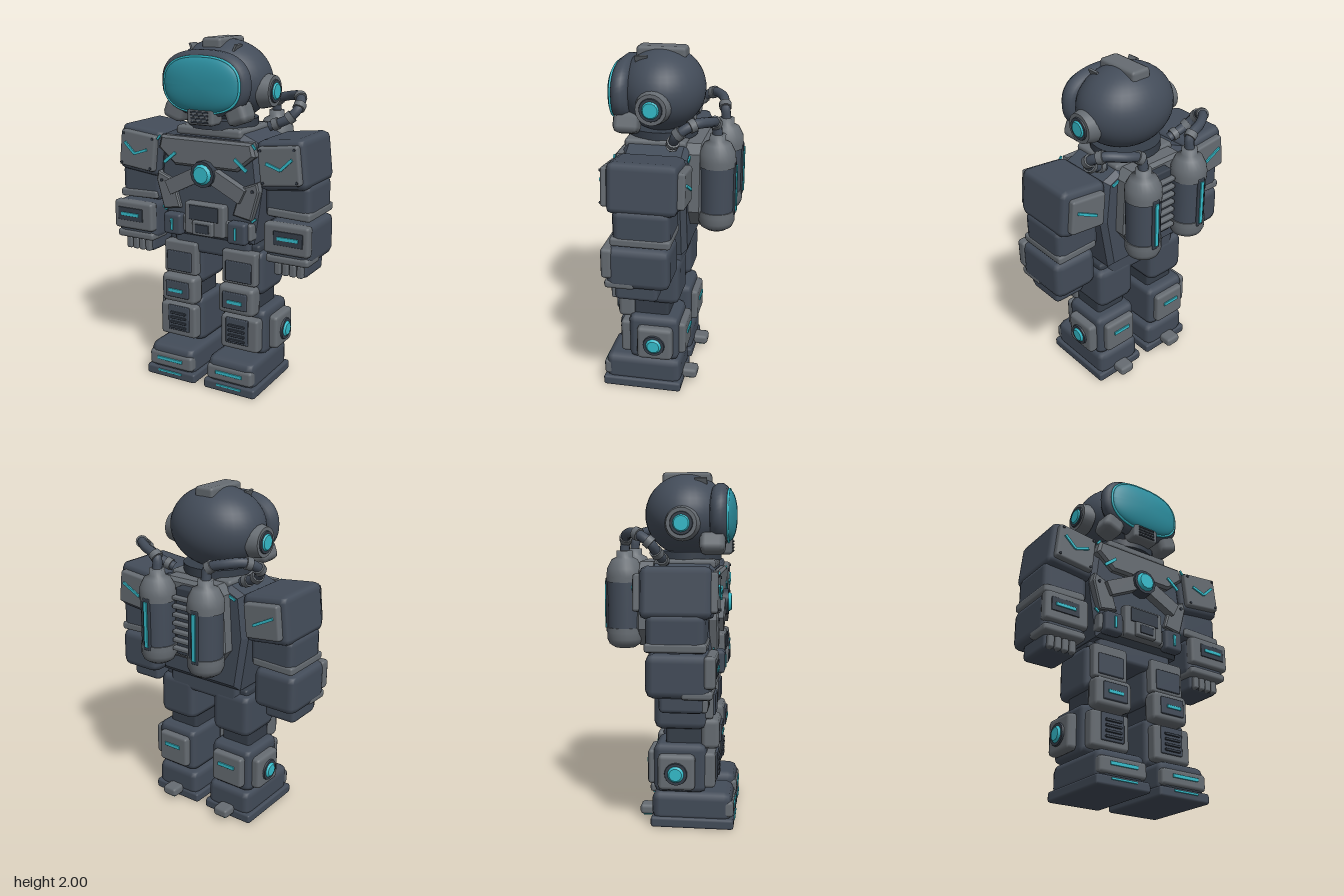
import * as THREE from 'three';
import { RoundedBoxGeometry } from 'three/addons/geometries/RoundedBoxGeometry.js';

const paint = (name, color) => Object.assign(new THREE.MeshStandardMaterial({ color }), { name });

export function createModel() {
  const dark = paint('slate armour', 0x434c59);
  const grey = paint('grey plating', 0x666c72);
  const deep = paint('dark inset', 0x363e49);
  const glow = paint('teal light', 0x35bccb);
  const glass = paint('teal visor', 0x2b8d9e);
  const model = new THREE.Group();
  model.name = 'armouredSpaceSuit';

  const add = (parent, name, geo, mat, x = 0, y = 0, z = 0, rz = 0) => {
    const m = new THREE.Mesh(geo, mat);
    m.name = name;
    m.position.set(x, y, z);
    m.rotation.z = rz;
    parent.add(m);
    return m;
  };
  // chamfered box given by its extents on each axis
  const box = (parent, name, mat, [x0, x1], [y0, y1], [z0, z1], r = 0.01, rz = 0) => {
    const w = Math.abs(x1 - x0), h = y1 - y0, d = z1 - z0;
    const geo = new RoundedBoxGeometry(w, h, d, 1, Math.min(r, w * 0.4, h * 0.4, d * 0.4));
    return add(parent, name, geo, mat, (x0 + x1) / 2, (y0 + y1) / 2, (z0 + z1) / 2, rz);
  };
  // thin bar between two points of the xy plane
  const bar = (parent, name, mat, a, b, z, t = 0.016, d = 0.009) => {
    const dx = b[0] - a[0], dy = b[1] - a[1];
    return add(parent, name, new THREE.BoxGeometry(Math.hypot(dx, dy), t, d), mat,
      (a[0] + b[0]) / 2, (a[1] + b[1]) / 2, z, Math.atan2(dy, dx));
  };
  // extruded outline, bevelled inside its z extents
  const plate = (parent, name, mat, pts, z0, z1, bevel = 0.008) => {
    const geo = new THREE.ExtrudeGeometry(new THREE.Shape(pts.map(p => new THREE.Vector2(...p))), {
      depth: z1 - z0 - 2 * bevel, bevelSize: bevel, bevelThickness: bevel, bevelOffset: -bevel, bevelSegments: 1,
    });
    return add(parent, name, geo, mat, 0, 0, z0 + bevel);
  };
  // cylinder along a chosen axis
  const disc = (parent, name, mat, r0, r1, len, x, y, z, axis, seg = 20) => {
    const geo = new THREE.CylinderGeometry(r1, r0, len, seg);
    if (axis === 'x') geo.rotateZ(-Math.PI / 2);
    if (axis === '-x') geo.rotateZ(Math.PI / 2);
    if (axis === 'z') geo.rotateX(Math.PI / 2);
    return add(parent, name, geo, mat, x, y, z);
  };
  const squircle = (t, p = 0.8) => [Math.cos(t), Math.sin(t)].map(v => Math.sign(v) * Math.abs(v) ** p);
  const loop = (rx, ry, y, z, r) => {
    const pts = Array.from({ length: 32 }, (_, i) => {
      const [c, s] = squircle(i / 16 * Math.PI);
      return new THREE.Vector3(c * rx, y + s * ry, z);
    });
    return new THREE.TubeGeometry(new THREE.CatmullRomCurve3(pts, true), 64, r, 10, true);
  };

  // ---- helmet
  const head = new THREE.Group();
  head.name = 'helmet';
  model.add(head);
  const shell = new THREE.SphereGeometry(1, 36, 24);
  shell.scale(0.29, 0.233, 0.242);
  add(head, 'helmetShell', shell, dark, 0, 1.76, 0.07);
  add(head, 'visorRim', loop(0.225, 0.132, 1.76, 0.265, 0.05), dark);
  const lens = new THREE.SphereGeometry(1, 40, 20, 0, Math.PI * 2, 0, Math.PI / 2);
  lens.rotateX(Math.PI / 2);
  const lp = lens.attributes.position;
  for (let i = 0; i < lp.count; i++) {
    const q = Math.hypot(lp.getX(i), lp.getY(i));
    const [c, s] = squircle(Math.atan2(lp.getY(i), lp.getX(i)));
    lp.setXYZ(i, c * q * 0.236, s * q * 0.152, lp.getZ(i) * 0.05);
  }
  lens.computeVertexNormals();
  add(head, 'visor', lens, glass, 0, 1.755, 0.31);
  add(head, 'visorTrim', loop(0.235, 0.151, 1.755, 0.316, 0.007), glow);
  box(head, 'crest', grey, [-0.062, 0.062], [1.93, 2.0], [-0.07, 0.21], 0.02);
  box(head, 'respirator', grey, [-0.085, 0.085], [1.535, 1.635], [0.22, 0.335], 0.02);
  for (let i = 0; i < 4; i++) box(head, 'respiratorSlat', deep, [-0.055, 0.055], [1.55 + i * 0.018, 1.56 + i * 0.018], [0.33, 0.341], 0.002);
  for (const s of [1, -1]) {
    disc(head, 'earPod', grey, 0.1, 0.085, 0.07, s * 0.288, 1.715, 0.07, s > 0 ? 'x' : '-x');
    disc(head, 'earRing', deep, 0.066, 0.062, 0.012, s * 0.325, 1.715, 0.07, s > 0 ? 'x' : '-x');
    disc(head, 'earLight', glow, 0.053, 0.04, 0.014, s * 0.332, 1.715, 0.07, s > 0 ? 'x' : '-x');
    box(head, 'cheekGuard', grey, [s * 0.13, s * 0.26], [1.545, 1.66], [0.16, 0.305], 0.035, s * 0.35);
    bar(head, 'browNotch', grey, [s * 0.13, 1.93], [s * 0.145, 1.965], 0.16, 0.012, 0.07);
  }

  // ---- torso
  const torso = new THREE.Group();
  torso.name = 'torso';
  model.add(torso);
  plate(torso, 'torsoShell', dark, [[-0.21, 1.49], [-0.3, 1.45], [-0.33, 1.2], [-0.28, 0.87], [0.28, 0.87], [0.33, 1.2], [0.3, 1.45], [0.21, 1.49]], -0.12, 0.25, 0.03);
  box(torso, 'collar', grey, [-0.21, 0.21], [1.46, 1.515], [-0.1, 0.25], 0.02);
  disc(torso, 'neckRing', deep, 0.2, 0.2, 0.05, 0, 1.53, 0.07, 'y', 28);
  plate(torso, 'chestPlate', grey, [[-0.29, 1.455], [-0.31, 1.38], [-0.2, 1.29], [0.2, 1.29], [0.31, 1.38], [0.29, 1.455]], 0.22, 0.285, 0.015);
  box(torso, 'pelvis', dark, [-0.25, 0.25], [0.76, 0.9], [-0.08, 0.22], 0.03);
  box(torso, 'belt', grey, [-0.29, 0.29], [0.9, 1.0], [0.2, 0.275], 0.015);
  box(torso, 'bucklePlate', grey, [-0.13, 0.13], [0.9, 1.09], [0.24, 0.3], 0.015);
  box(torso, 'buckleInset', deep, [-0.095, 0.095], [0.99, 1.075], [0.29, 0.307], 0.005);
  box(torso, 'buckle', grey, [-0.068, 0.068], [0.905, 0.99], [0.28, 0.32], 0.01);
  box(torso, 'buckleCore', deep, [-0.045, 0.045], [0.922, 0.973], [0.31, 0.325], 0.004);
  disc(torso, 'coreSocket', deep, 0.08, 0.075, 0.06, 0, 1.26, 0.285, 'z', 12);
  disc(torso, 'coreLight', glow, 0.064, 0.046, 0.025, 0, 1.26, 0.32, 'z', 12);
  for (const s of [1, -1]) {
    plate(torso, 'sidePanel', grey, s > 0
      ? [[0.17, 1.04], [0.285, 1.02], [0.332, 1.19], [0.32, 1.24], [0.22, 1.2]]
      : [[-0.22, 1.2], [-0.32, 1.24], [-0.332, 1.19], [-0.285, 1.02], [-0.17, 1.04]], 0.22, 0.275);
    bar(torso, 'chestStrap', grey, [s * 0.05, 1.25], [s * 0.24, 1.155], 0.27, 0.085, 0.06);
    bar(torso, 'chestLight', glow, [s * 0.19, 1.362], [s * 0.265, 1.3], 0.288, 0.018);
    disc(torso, 'panelRivet', deep, 0.009, 0.009, 0.01, s * 0.295, 1.19, 0.277, 'z', 8);
    box(torso, 'pouch', dark, [s * 0.15, s * 0.27], [0.88, 1.01], [0.24, 0.31], 0.02);
    box(torso, 'pouchLight', glow, [s * 0.2, s * 0.215], [0.91, 0.98], [0.308, 0.317], 0.002);
    bar(torso, 'collarLight', glow, [s * 0.295, 1.45], [s * 0.315, 1.425], 0.28, 0.012);
    bar(torso, 'hipLight', glow, [s * 0.28, 1.01], [s * 0.305, 1.03], 0.25, 0.012);
    bar(torso, 'backLight', glow, [s * 0.21, 1.44], [s * 0.26, 1.42], -0.124, 0.014);
  }

  // ---- life support pack
  const pack = new THREE.Group();
  pack.name = 'lifeSupportPack';
  model.add(pack);
  plate(pack, 'packShell', grey, [[-0.22, 1.45], [-0.24, 1.12], [-0.17, 1.02], [0.17, 1.02], [0.24, 1.12], [0.22, 1.45], [0.17, 1.5], [-0.17, 1.5]], -0.2, -0.08, 0.02);
  box(pack, 'ventCore', deep, [-0.055, 0.055], [1.07, 1.47], [-0.255, -0.18], 0.01);
  for (let i = 0; i < 7; i++) box(pack, 'ventRib', grey, [-0.062, 0.062], [1.1 + i * 0.05, 1.125 + i * 0.05], [-0.28, -0.2], 0.008);
  const lathe = pts => new THREE.LatheGeometry(pts.map(p => new THREE.Vector2(...p)), 24);
  for (const s of [1, -1]) {
    const x = s * 0.17, z = -0.27;
    disc(pack, 'tank', dark, 0.098, 0.098, 0.32, x, 1.25, z, 'y', 24);
    add(pack, 'tankTop', lathe([[0.104, 1.39], [0.104, 1.42], [0.1, 1.46], [0.075, 1.51], [0.045, 1.525], [0.045, 1.56], [0, 1.56]]), grey, x, 0, z);
    add(pack, 'tankBase', lathe([[0, 1.005], [0.06, 1.01], [0.09, 1.03], [0.103, 1.06], [0.103, 1.1]]), grey, x, 0, z);
    for (const y of [1.11, 1.4]) disc(pack, 'tankBand', grey, 0.104, 0.104, 0.03, x, y, z, 'y', 24);
    box(pack, 'tankLightMount', deep, [x - 0.024, x + 0.024], [1.1, 1.41], [-0.377, -0.34], 0.006);
    box(pack, 'tankLight', glow, [x - 0.012, x + 0.012], [1.12, 1.39], [-0.384, -0.375], 0.002);
    // hose from the tank round to the collar
    const path = new THREE.CatmullRomCurve3([[0.17, 1.55, -0.27], [0.18, 1.62, -0.26], [0.28, 1.655, -0.235], [0.365, 1.66, -0.17],
      [0.395, 1.61, -0.09], [0.35, 1.55, -0.055], [0.24, 1.5, -0.03]].map(p => new THREE.Vector3(s * p[0], p[1], p[2])));
    add(pack, 'hose', new THREE.TubeGeometry(path, 36, 0.028, 10), dark);
    for (const t of [0.14, 0.5, 0.64, 0.78, 0.93]) {
      const c = add(pack, 'hoseCollar', new THREE.CylinderGeometry(0.036, 0.036, 0.035, 12), grey);
      c.position.copy(path.getPointAt(t));
      c.quaternion.setFromUnitVectors(new THREE.Vector3(0, 1, 0), path.getTangentAt(t));
    }
  }

  for (const s of [1, -1]) {
    const side = s > 0 ? 'left' : 'right';
    const X = (a, b) => [s * a, s * b];

    // ---- arm
    const arm = new THREE.Group();
    arm.name = side + 'Arm';
    model.add(arm);
    const sh = new THREE.Group();
    sh.name = 'shoulder';
    sh.position.set(s * 0.455, 1.345, 0.07);
    sh.rotation.z = s * 0.11;
    arm.add(sh);
    box(sh, 'shoulderShell', dark, [-0.145, 0.145], [-0.14, 0.14], [-0.195, 0.19], 0.04);
    box(sh, 'shoulderPlate', grey, [-0.12, 0.12], [-0.105, 0.11], [0.17, 0.22], 0.015);
    bar(sh, 'shoulderLight', glow, [s * 0.085, 0.04], [s * 0.012, -0.016], 0.225);
    bar(sh, 'shoulderLightTick', glow, [s * 0.012, -0.016], [s * -0.07, 0.022], 0.225);
    for (const [u, v] of [[0.1, 0.09], [-0.1, 0.09], [0.1, -0.085], [-0.1, -0.085]]) disc(sh, 'rivet', deep, 0.008, 0.008, 0.008, u, v, 0.222, 'z', 8);
    box(sh, 'shoulderBackPlate', grey, [-0.11, 0.11], [-0.1, 0.1], [-0.232, -0.18], 0.015);
    bar(sh, 'shoulderBackLight', glow, [s * 0.08, 0.03], [s * -0.05, -0.02], -0.236);
    box(arm, 'upperArm', dark, X(0.335, 0.615), [1.04, 1.25], [-0.09, 0.225], 0.04);
    box(arm, 'elbowBand', grey, X(0.36, 0.62), [1.05, 1.1], [-0.095, 0.235], 0.015, s * -0.03);
    box(arm, 'forearm', dark, X(0.36, 0.635), [0.8, 1.04], [-0.09, 0.26], 0.045);
    box(arm, 'forearmPlate', grey, X(0.365, 0.638), [0.86, 1.035], [0.22, 0.285], 0.02);
    box(arm, 'forearmInset', deep, X(0.43, 0.605), [0.915, 0.995], [0.28, 0.29], 0.004);
    box(arm, 'forearmLight', glow, X(0.455, 0.58), [0.945, 0.965], [0.287, 0.296], 0.002);
    box(arm, 'cuff', grey, X(0.37, 0.632), [0.8, 0.85], [0.1, 0.27], 0.02);
    box(arm, 'hand', dark, X(0.4, 0.6), [0.72, 0.83], [-0.02, 0.22], 0.025);
    for (let i = 0; i < 4; i++) box(arm, 'finger', grey, X(0.413 + i * 0.045, 0.452 + i * 0.045), [0.725, 0.8], [0.18, 0.24], 0.012);

    // ---- leg
    const leg = new THREE.Group();
    leg.name = side + 'Leg';
    model.add(leg);
    box(leg, 'hipJoint', deep, X(0.1, 0.3), [0.79, 0.86], [-0.05, 0.19], 0.02);
    box(leg, 'thigh', dark, X(0.07, 0.33), [0.56, 0.83], [-0.085, 0.215], 0.045);
    box(leg, 'thighPlate', grey, X(0.085, 0.305), [0.625, 0.825], [0.18, 0.25], 0.015);
    box(leg, 'thighInset', dark, X(0.115, 0.28), [0.645, 0.765], [0.24, 0.262], 0.006);
    box(leg, 'kneeJoint', deep, X(0.1, 0.3), [0.45, 0.6], [-0.02, 0.19], 0.02);
    box(leg, 'kneePad', grey, X(0.075, 0.31), [0.45, 0.625], [0.18, 0.285], 0.03);
    box(leg, 'kneeInset', dark, X(0.115, 0.27), [0.49, 0.59], [0.275, 0.298], 0.006);
    box(leg, 'kneeLight', glow, X(0.15, 0.245), [0.525, 0.545], [0.295, 0.304], 0.002);
    box(leg, 'shin', dark, X(0.065, 0.35), [0.2, 0.485], [-0.085, 0.215], 0.04);
    box(leg, 'shinPlate', grey, X(0.085, 0.33), [0.23, 0.435], [0.18, 0.265], 0.02);
    box(leg, 'shinInset', dark, X(0.125, 0.27), [0.27, 0.425], [0.255, 0.275], 0.006);
    for (let i = 0; i < 4; i++) box(leg, 'shinSlat', deep, X(0.145, 0.25), [0.285 + i * 0.03, 0.3 + i * 0.03], [0.27, 0.285], 0.004);
    box(leg, 'calfPod', grey, X(0.33, 0.4), [0.23, 0.435], [-0.055, 0.155], 0.025);
    disc(leg, 'calfRing', deep, 0.066, 0.062, 0.014, s * 0.403, 0.33, 0.05, s > 0 ? 'x' : '-x');
    disc(leg, 'calfLight', glow, 0.053, 0.035, 0.018, s * 0.412, 0.33, 0.05, s > 0 ? 'x' : '-x');
    box(leg, 'calfPlate', grey, X(0.1, 0.315), [0.24, 0.44], [-0.122, -0.06], 0.02);
    box(leg, 'calfBar', glow, X(0.15, 0.265), [0.355, 0.378], [-0.131, -0.122], 0.002);

    // ---- boot
    const boot = new THREE.Group();
    boot.name = side + 'Boot';
    model.add(boot);
    box(boot, 'bootShell', dark, X(0.045, 0.35), [0.03, 0.205], [-0.095, 0.36], 0.045);
    box(boot, 'sole', dark, X(0.03, 0.365), [0, 0.06], [-0.1, 0.372], 0.015);
    box(boot, 'toePlate', grey, X(0.05, 0.345), [0.065, 0.16], [0.29, 0.37], 0.02);
    box(boot, 'toeLight', glow, X(0.115, 0.285), [0.11, 0.13], [0.368, 0.377], 0.002);
    box(boot, 'soleLight', glow, X(0.12, 0.28), [0.035, 0.047], [0.369, 0.378], 0.002);
    box(boot, 'heel', grey, X(0.15, 0.25), [0.03, 0.09], [-0.178, -0.08], 0.02);
    box(boot, 'heelLight', glow, X(0.17, 0.23), [0.024, 0.032], [-0.16, -0.11], 0.002);
  }
  return model;
}
